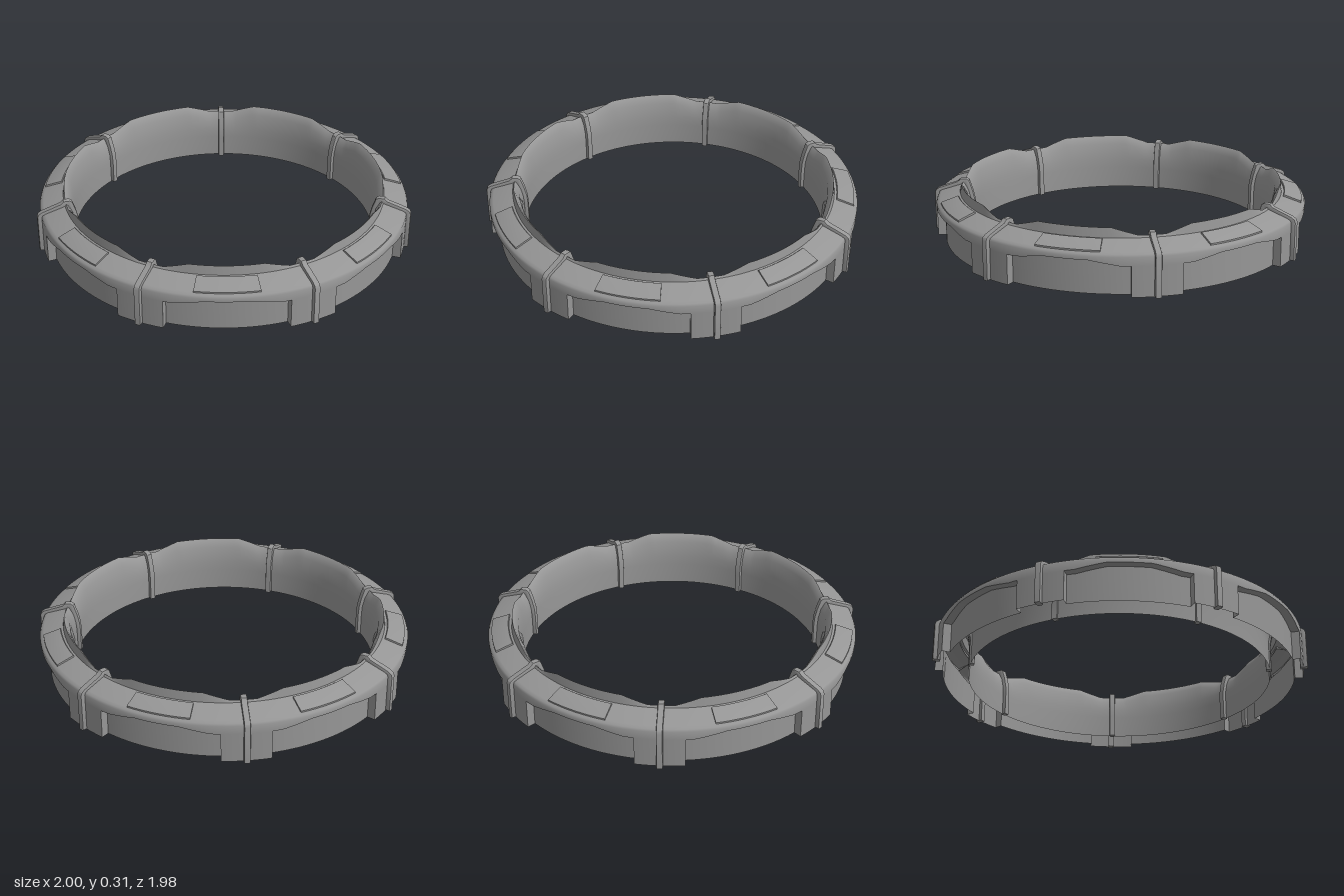
import * as THREE from 'three';
import { toCreasedNormals } from 'three/addons/utils/BufferGeometryUtils.js';

const SEGMENTS = 7;
const STEP = 360 / SEGMENTS;
const FIRST = 1.9; // angle of the first panel, in degrees
const WINDOW = 18.4; // half width of a window, in degrees
const rad = THREE.MathUtils.degToRad;

// Value 1 on a plateau, falling linearly to 0 at the end angle
const plateau = (a, flat, end) => 1 - THREE.MathUtils.clamp((Math.abs(a) - flat) / (end - flat), 0, 1);

// Skin open cross-sections, each { angle, points: [[radius, y], ...] }
function loft(sections, crease) {
  const rings = sections.map(({ angle, points }) => points.map(([r, y]) =>
    new THREE.Vector3(r * Math.cos(rad(angle)), y, r * Math.sin(rad(angle)))));
  const out = [];
  const tri = (a, b, c) => {
    const area = b.clone().sub(a).cross(c.clone().sub(a)).length();
    if (area > 1e-9) for (const p of [a, b, c]) out.push(p.x, p.y, p.z);
  };
  for (let i = 0; i < rings.length - 1; i++) {
    for (let j = 0; j < rings[i].length - 1; j++) {
      const a = rings[i][j], b = rings[i + 1][j], c = rings[i + 1][j + 1], d = rings[i][j + 1];
      tri(a, d, c);
      tri(a, c, b);
    }
  }
  const geometry = new THREE.BufferGeometry();
  geometry.setAttribute('position', new THREE.Float32BufferAttribute(out, 3));
  return toCreasedNormals(geometry, crease);
}

// Cross-section of the hollow ring, open below, at an angle from the panel centre
function ringProfile(a, inWindow) {
  const top = 0.266 + 0.039 * plateau(a, 12.5, 21.2);
  const sill = 0.158 + 0.027 * plateau(a, 6.5, 15.5);
  const wall = inWindow ? 0.944 : 0.988;
  return [
    [wall, 0], [wall, sill], [0.988, sill],
    [0.988, 0.203], [0.982, 0.214], [0.967, 0.222],
    [0.862, 0.255], [0.855, top], [0.846, top - 0.008],
    [0.826, top - 0.045], [0.814, 0.17], [0.811, 0.12], [0.811, 0],
  ];
}

// Ring body: the repeated angles make the square ends of the windows
function ringGeometry() {
  const half = [6.5, 12.5, 15.5, WINDOW, WINDOW, 21.2, STEP / 2];
  const marks = [...half.map((a) => -a).reverse(), ...half];
  const sections = [];
  for (let s = 0; s < SEGMENTS; s++) {
    for (let m = 0; m < marks.length - 1; m++) {
      const from = marks[m], to = marks[m + 1];
      if (from === to) continue;
      const inWindow = Math.abs(from + to) / 2 < WINDOW;
      const n = Math.ceil((to - from) / 2.5);
      for (let i = 0; i <= n; i++) {
        const a = from + (to - from) * i / n;
        sections.push({ angle: FIRST + s * STEP + a, points: ringProfile(a, inWindow) });
      }
    }
  }
  return loft(sections, rad(36));
}

// Raised plate on the sloping top, with its ends closed on a centre point
function plateGeometry() {
  const points = [[0.969, 0.208], [0.969, 0.229], [0.965, 0.232], [0.879, 0.26], [0.875, 0.257], [0.875, 0.238]];
  const end = points.map(() => [0.92, 0.235]);
  const sections = [{ angle: -9.7, points: end }];
  for (let i = 0; i <= 8; i++) sections.push({ angle: -9.7 + 19.4 * i / 8, points });
  sections.push({ angle: 9.7, points: end });
  return loft(sections, rad(30));
}

// Clamp strap that hugs the ring from outside to inside, open below
function clampGeometry() {
  const outline = [
    [1.011, 0], [1.011, 0.205], [1.005, 0.22], [0.988, 0.232], [0.885, 0.268], [0.868, 0.284],
    [0.835, 0.284], [0.822, 0.275], [0.804, 0.22], [0.793, 0.17], [0.79, 0.12], [0.79, 0],
    [0.82, 0], [0.82, 0.14], [0.835, 0.22], [0.852, 0.242], [0.955, 0.21], [0.97, 0.195], [0.97, 0],
  ];
  const shape = new THREE.Shape(outline.map(([r, y]) => new THREE.Vector2(r, y)));
  const bevel = 0.006;
  const geometry = new THREE.ExtrudeGeometry(shape, {
    depth: 0.02, bevelEnabled: true, bevelThickness: bevel, bevelSize: bevel, bevelOffset: -bevel, bevelSegments: 2,
  });
  geometry.translate(0, 0, -0.01);
  return toCreasedNormals(geometry, rad(35));
}

export function createModel() {
  const model = new THREE.Group();
  model.name = 'segmentedRing';
  const material = new THREE.MeshStandardMaterial({ color: 0x969696, side: THREE.DoubleSide });
  const add = (geometry, name, angle = 0) => {
    const mesh = new THREE.Mesh(geometry, material);
    mesh.name = name;
    mesh.rotation.y = -rad(angle);
    mesh.position.set(0.011, 0, -0.006);
    model.add(mesh);
  };

  add(ringGeometry(), 'ringBody');
  const plate = plateGeometry();
  const clamp = clampGeometry();
  for (let i = 0; i < SEGMENTS; i++) {
    add(plate, `topPlate${i + 1}`, FIRST + i * STEP);
    add(clamp, `clamp${i + 1}`, FIRST + (i + 0.5) * STEP);
  }
  return model;
}
